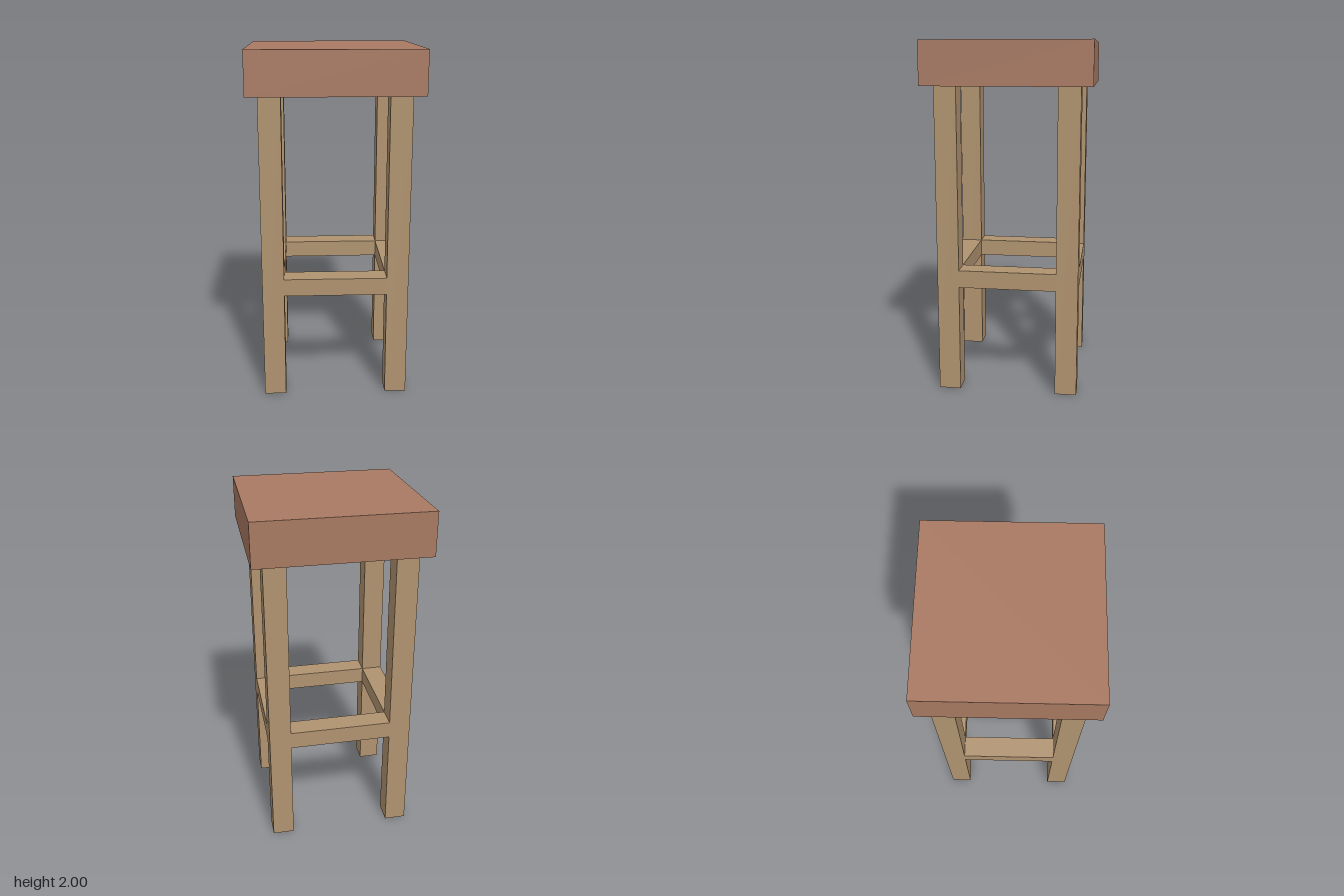
import * as THREE from 'three';

export function createModel() {
  const model = new THREE.Group();
  model.name = 'barStool';

  const wood = new THREE.MeshStandardMaterial({ color: 0xb09370 });
  wood.name = 'light wood';
  const cushion = new THREE.MeshStandardMaterial({ color: 0xa87962 });
  cushion.name = 'terracotta cushion';

  const box = (name, material, size, position) => {
    const mesh = new THREE.Mesh(new THREE.BoxGeometry(...size), material);
    mesh.name = name;
    mesh.position.set(...position);
    model.add(mesh);
  };

  const seatBottom = 1.757;
  const legSize = 0.124;
  const legX = 0.355, legZ = 0.339; // leg centres
  const railY = 0.67, railHeight = 0.1;

  // Thick seat slab
  box('seat', cushion, [0.96, 2 - seatBottom, 0.932], [0, (2 + seatBottom) / 2, 0]);

  // Four square legs
  for (const [side, sx] of [['Left', 1], ['Right', -1]]) {
    for (const [end, sz] of [['front', 1], ['back', -1]]) {
      box(`${end}${side}Leg`, wood, [legSize, seatBottom, legSize], [sx * legX, seatBottom / 2, sz * legZ]);
    }
  }

  // Footrest rails between the legs, flush with their faces
  for (const s of [1, -1]) {
    box(s > 0 ? 'frontRail' : 'backRail', wood,
      [2 * legX - legSize, railHeight, legSize], [0, railY, s * legZ]);
    box(s > 0 ? 'leftRail' : 'rightRail', wood,
      [legSize, railHeight, 2 * legZ - legSize], [s * legX, railY, 0]);
  }

  return model;
}
